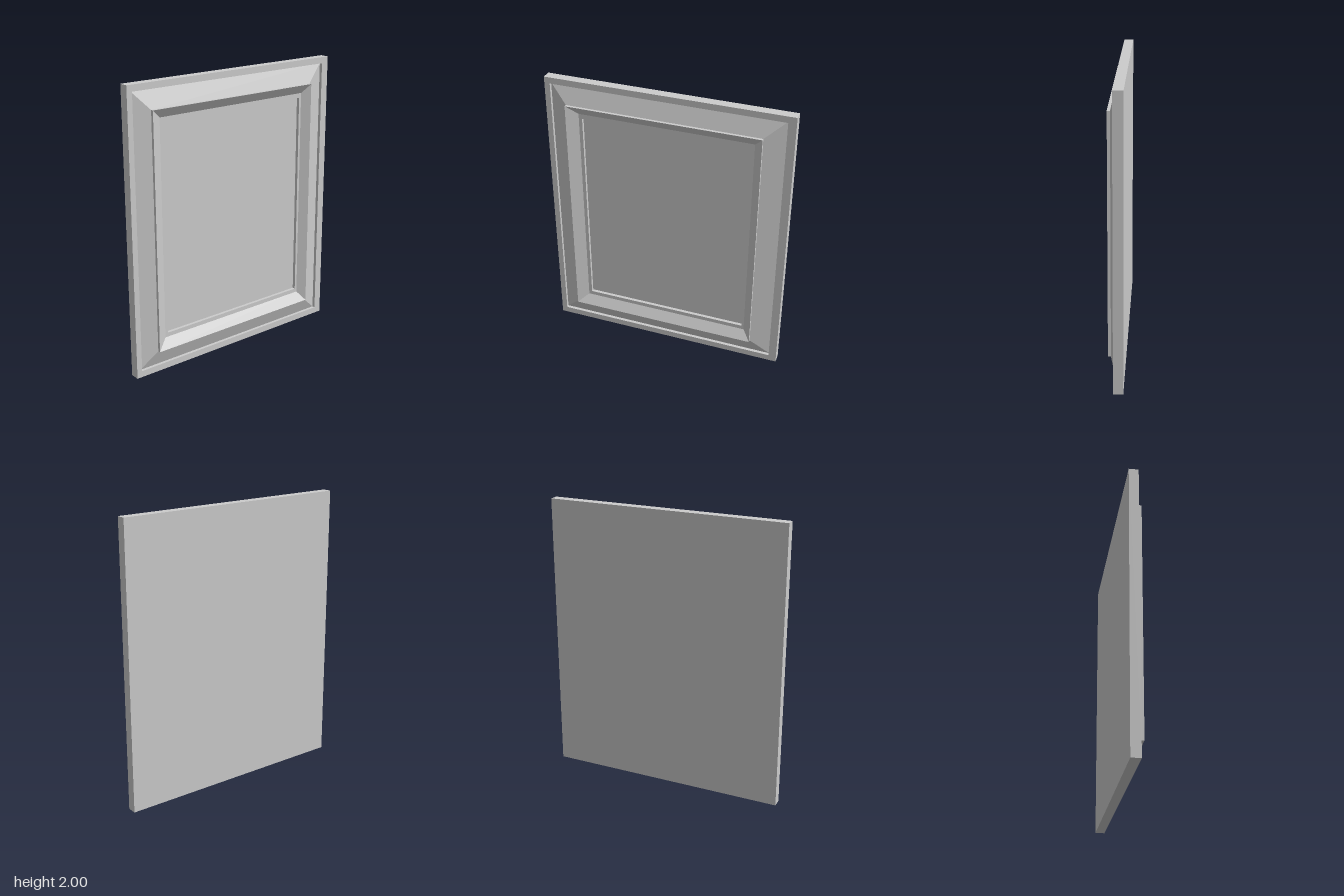
import * as THREE from 'three';

// Rectangular outlines [left, right, bottom, top], from outside to inside
const OUTER = [-0.855, 0.855, 0, 2];
const GROOVE = [-0.816, 0.8, 0.045, 1.956];
const CREST = [-0.696, 0.657, 0.165, 1.83];
const LEDGE = [-0.618, 0.601, 0.235, 1.767];
const PANEL = [-0.594, 0.583, 0.264, 1.734];

// Depths along z
const BACK = -0.055, FACE = 0.0115, SUNK = -0.011, SHOULDER = 0.035, FRONT = 0.055;

const corners = ([x0, x1, y0, y1], z) =>
  [[x0, y0, z], [x1, y0, z], [x1, y1, z], [x0, y1, z]];

// Joins successive rectangles [outline, z] with mitred, flat-shaded bands
function loft(name, steps, material, capStart = false, capEnd = false) {
  const pos = [];
  const quad = (a, b, c, d) => pos.push(...a, ...b, ...c, ...a, ...c, ...d);
  const rings = steps.map(([outline, z]) => corners(outline, z));
  for (let k = 0; k < rings.length - 1; k++) {
    const r = rings[k], s = rings[k + 1];
    for (let i = 0; i < 4; i++) {
      const j = (i + 1) % 4;
      quad(r[i], r[j], s[j], s[i]);
    }
  }
  if (capStart) quad(...[...rings[0]].reverse());
  if (capEnd) quad(...rings[rings.length - 1]);
  const geometry = new THREE.BufferGeometry();
  geometry.setAttribute('position', new THREE.Float32BufferAttribute(pos, 3));
  geometry.computeVertexNormals();
  const mesh = new THREE.Mesh(geometry, material);
  mesh.name = name;
  return mesh;
}

export function createModel() {
  const group = new THREE.Group();
  group.name = 'framedPanel';
  const material = new THREE.MeshStandardMaterial({ color: 0xcccccc, flatShading: true });

  group.add(
    // Flat back, edges and narrow front border
    loft('backBoard', [[OUTER, BACK], [OUTER, FACE], [GROOVE, FACE]], material, true),
    // Sunken groove, bevel up to the crest, then bevel down to the ledge
    loft('moulding', [
      [GROOVE, FACE], [GROOVE, SUNK], [CREST, SHOULDER], [CREST, FRONT], [LEDGE, FACE],
    ], material),
    // Flat inner ledge
    loft('innerLedge', [[LEDGE, FACE], [PANEL, FACE]], material),
    // Recessed centre panel
    loft('centrePanel', [[PANEL, FACE], [PANEL, SUNK]], material, false, true),
  );
  return group;
}
